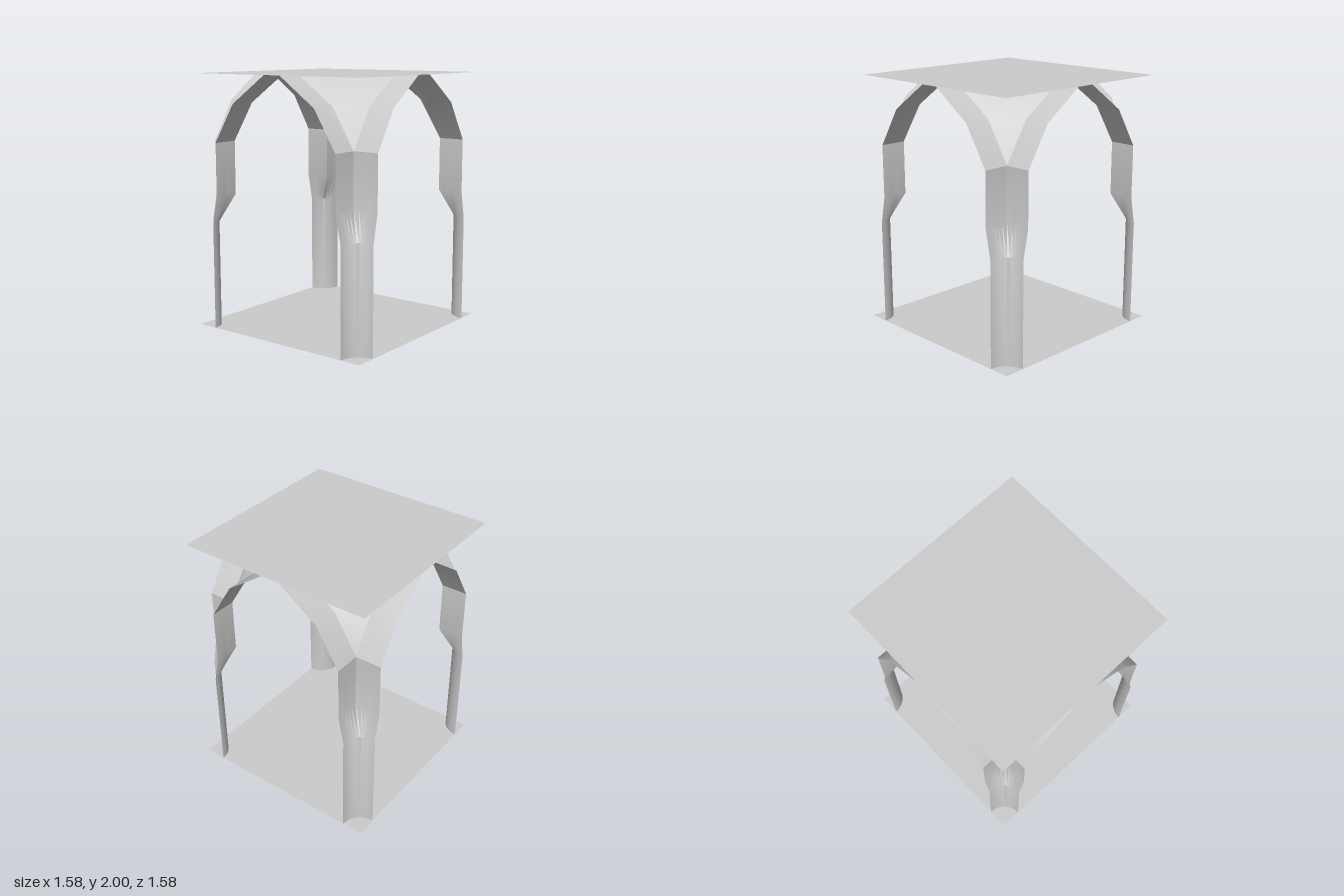
import * as THREE from 'three';
import { toCreasedNormals } from 'three/addons/utils/BufferGeometryUtils.js';

const HALF = 0.79;    // half width of the bay
const RADIUS = 0.165; // quarter-round shaft
const PIER = 0.21;    // square pier above the shaft

const material = new THREE.MeshStandardMaterial({ color: 0xcccccc, side: THREE.DoubleSide });

// Skin rows of [u, v] points (distances inward from the corner) at rising heights
function loft(rows, crease) {
  const positions = [];
  const point = ({ y, pts }, i) => new THREE.Vector3(HALF - pts[i][0], y, HALF - pts[i][1]);
  const triangle = (...corners) => {
    if (new THREE.Triangle(...corners).getArea() > 1e-7) {
      corners.forEach((p) => positions.push(p.x, p.y, p.z));
    }
  };
  for (let j = 0; j < rows.length - 1; j++) {
    for (let i = 0; i < rows[j].pts.length - 1; i++) {
      const a = point(rows[j], i), b = point(rows[j], i + 1);
      const c = point(rows[j + 1], i), d = point(rows[j + 1], i + 1);
      triangle(a, c, b);
      triangle(b, c, d);
    }
  }
  const geometry = new THREE.BufferGeometry();
  geometry.setAttribute('position', new THREE.Float32BufferAttribute(positions, 3));
  return toCreasedNormals(geometry, crease);
}

// Quarter circle, or the same directions pushed out to a square corner
function section(square) {
  const pts = [];
  const steps = 12;
  for (let i = 0; i <= steps; i++) {
    const angle = (i / steps) * Math.PI / 2;
    const c = Math.cos(angle), s = Math.sin(angle);
    const r = square ? PIER / Math.max(c, s) : RADIUS;
    pts.push([r * c, r * s]);
  }
  return pts;
}

// Two arch soffits springing from the pier, with the sloping web between them
function archRow(y, reach) {
  return { y, pts: [[reach, 0], [reach, PIER], [PIER, reach], [0, reach]] };
}

function part(name, geometry) {
  const mesh = new THREE.Mesh(geometry, material);
  mesh.name = name;
  return mesh;
}

export function createModel() {
  const model = new THREE.Group();
  model.name = 'vaultedBay';

  // Floor and ceiling sheets
  const sheet = new THREE.PlaneGeometry(HALF * 2, HALF * 2).rotateX(-Math.PI / 2);
  const floor = part('floor', sheet);
  const ceiling = part('ceiling', sheet);
  ceiling.position.y = 2;
  model.add(floor, ceiling);

  // Shaft flaring from quarter round to a square pier
  const columnGeometry = loft([
    { y: 0, pts: section(false) },
    { y: 0.84, pts: section(false) },
    { y: 1.055, pts: section(true) },
    { y: 1.475, pts: section(true) },
  ], 0.45);

  // Arch bands and web up to the ceiling
  const archGeometry = loft([
    archRow(1.475, PIER),
    archRow(1.78, 0.4),
    archRow(2, 0.715),
  ], 0.45);

  // One support in each corner
  ['frontLeft', 'backLeft', 'backRight', 'frontRight'].forEach((corner, i) => {
    const support = new THREE.Group();
    support.name = corner + 'Support';
    support.add(part('column', columnGeometry), part('archSpringing', archGeometry));
    support.rotation.y = i * Math.PI / 2;
    model.add(support);
  });

  return model;
}
